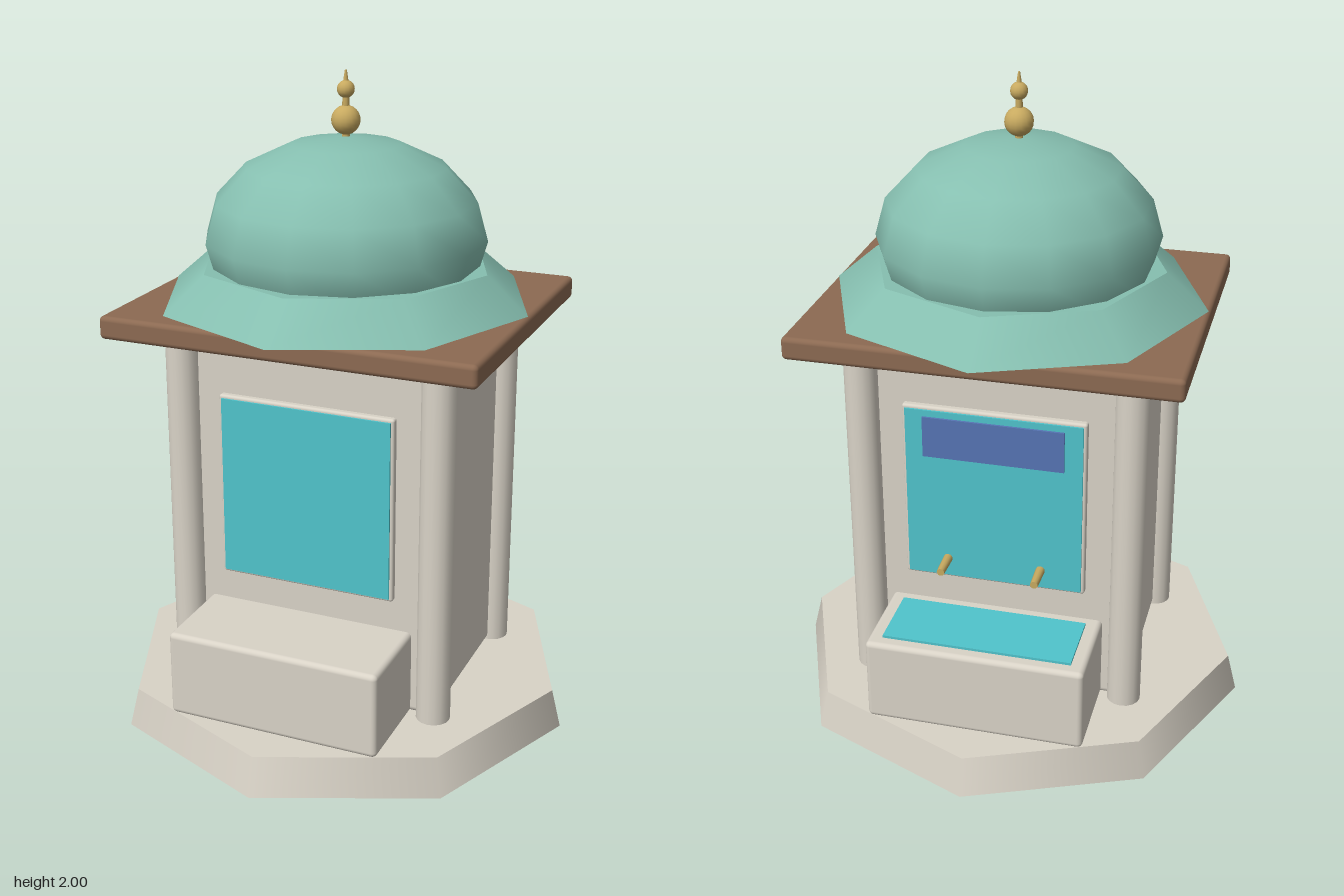
import * as THREE from 'three';
import { RoundedBoxGeometry } from 'three/addons/geometries/RoundedBoxGeometry.js';

const mat = (name, color) => {
  const m = new THREE.MeshStandardMaterial({ color });
  m.name = name;
  return m;
};

export function createModel() {
  const stone = mat('stone', 0xd9d3c7);
  const copper = mat('green copper', 0x86bfb0);
  const tile = mat('turquoise tile', 0x50c4cc);
  const wood = mat('brown wood', 0x8c6a52);
  const blue = mat('blue panel', 0x5674b4);
  const gold = mat('gold', 0xc8aa60);

  const model = new THREE.Group();
  model.name = 'fountainKiosk';

  const add = (name, geometry, material, x, y, z, parent = model) => {
    const mesh = new THREE.Mesh(geometry, material);
    mesh.name = name;
    mesh.position.set(x, y, z);
    parent.add(mesh);
    return mesh;
  };
  const rounded = (w, h, d, r) => new RoundedBoxGeometry(w, h, d, 3, r);

  // Octagonal plinth and main block
  add('plinth', new THREE.CylinderGeometry(0.7, 0.73, 0.12, 8), stone, 0, 0.06, 0);
  add('body', rounded(0.82, 1.135, 0.58, 0.02), stone, 0, 0.6875, 0);

  // Corner columns
  for (const sx of [-1, 1]) {
    for (const sz of [-1, 1]) {
      add('cornerColumn', new THREE.CylinderGeometry(0.052, 0.052, 1.135, 16), stone,
        sx * 0.408, 0.6875, sz * 0.288);
    }
  }

  // Framed tile panel and stone trough, front and back
  for (const [side, s] of [['front', 1], ['back', -1]]) {
    const group = new THREE.Group();
    group.name = side + 'Side';
    model.add(group);
    add('panelFrame', rounded(0.56, 0.58, 0.04, 0.008), stone, 0, 0.78, s * 0.29, group);
    add('tilePanel', new THREE.BoxGeometry(0.54, 0.56, 0.008), tile, 0, 0.78, s * 0.312, group);
    add('trough', rounded(0.67, 0.27, 0.3, 0.016), stone, 0, 0.255, s * 0.425, group);
  }

  // Back details: water, blue panel and spouts
  add('water', new THREE.BoxGeometry(0.58, 0.009, 0.21), tile, 0, 0.3935, -0.43);
  add('bluePanel', new THREE.BoxGeometry(0.43, 0.13, 0.008), blue, 0, 0.975, -0.319);
  for (const x of [-0.145, 0.145]) {
    const spout = add('spout', new THREE.CylinderGeometry(0.012, 0.015, 0.1, 10), gold, x, 0.56, -0.35);
    spout.rotation.x = -Math.PI / 2;
  }

  // Eaves, octagonal skirt roof and dome
  add('eaves', rounded(1.155, 0.07, 0.96, 0.015), wood, 0, 1.29, 0);
  add('skirtRoof', new THREE.CylinderGeometry(0.445, 0.572, 0.11, 8), copper, 0, 1.38, 0);
  const dome = new THREE.SphereGeometry(0.425, 14, 5, 0, Math.PI * 2, 0, Math.PI * 0.625);
  dome.rotateY(Math.PI / 2);
  dome.scale(1, 0.3 / 0.425, 1);
  add('dome', dome, copper, 0, 1.51, 0);

  // Finial
  const finial = new THREE.Group();
  finial.name = 'finial';
  model.add(finial);
  add('stem', new THREE.CylinderGeometry(0.01, 0.012, 0.14, 10), gold, 0, 1.87, 0, finial);
  add('largeBall', new THREE.SphereGeometry(0.043, 16, 12), gold, 0, 1.856, 0, finial);
  add('smallBall', new THREE.SphereGeometry(0.026, 14, 10), gold, 0, 1.945, 0, finial);
  add('tip', new THREE.CylinderGeometry(0.003, 0.009, 0.04, 10), gold, 0, 1.98, 0, finial);

  return model;
}
